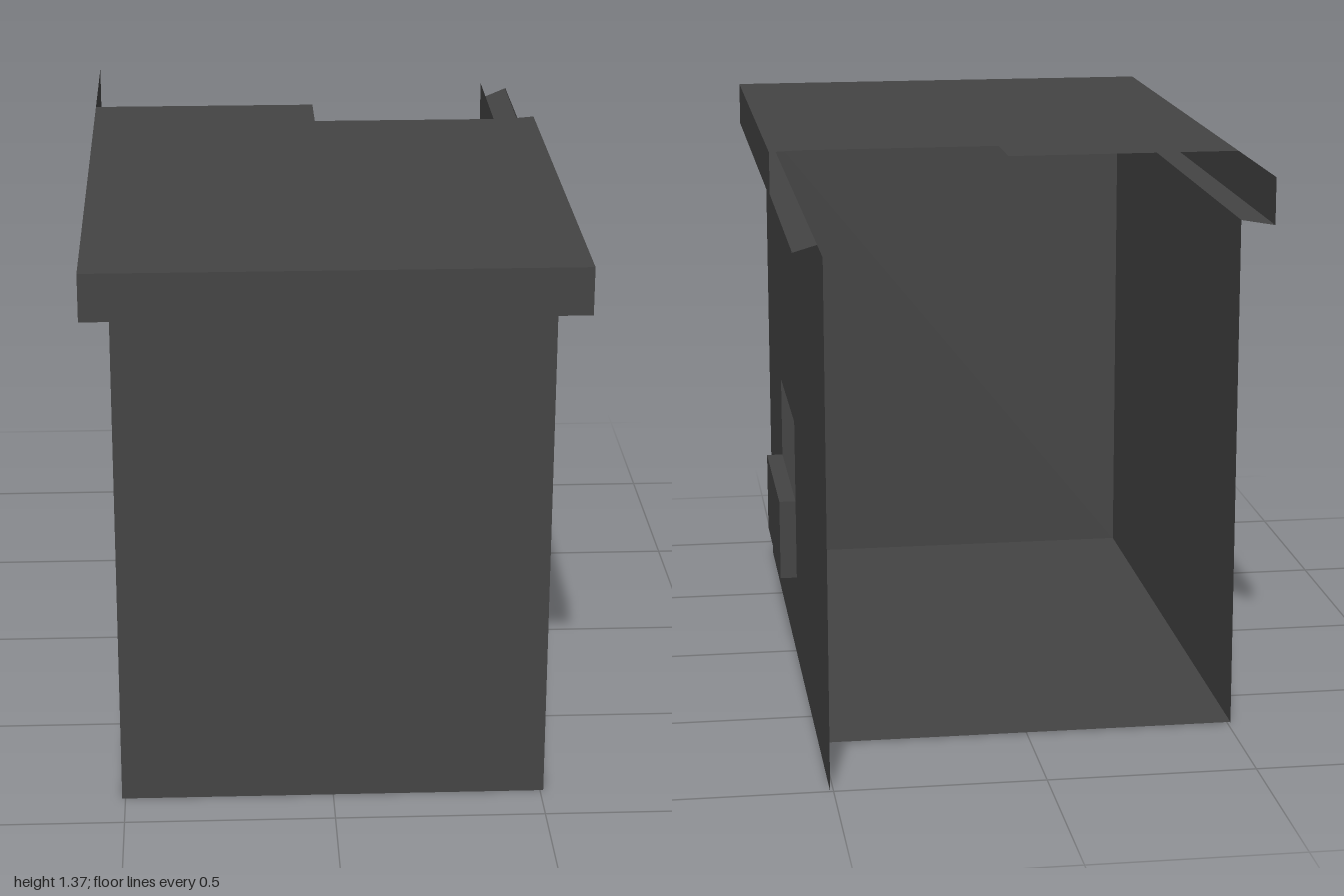
import * as THREE from 'three';

const charcoal = new THREE.MeshStandardMaterial({ color: 0x444444, side: THREE.DoubleSide });
charcoal.name = 'charcoal';

// How the two outline coordinates of a plate map into space, per plane
const planes = {
  x: (u, v, d) => [d, v, u], // outline in (z, y)
  y: (u, v, d) => [u, d, v], // outline in (x, z)
  z: (u, v, d) => [u, v, d], // outline in (x, y)
};

const rect = (u0, v0, u1, v1) => [[u0, v0], [u1, v0], [u1, v1], [u0, v1]];
const vectors = (points) => points.map(([u, v]) => new THREE.Vector2(u, v));

// Flat sheet lying in one axis plane, with an optional opening
function plate(name, plane, offset, outline, hole) {
  const shape = new THREE.Shape(vectors(outline));
  if (hole) shape.holes.push(new THREE.Path(vectors(hole)));
  const geometry = new THREE.ShapeGeometry(shape);
  const p = geometry.attributes.position;
  for (let i = 0; i < p.count; i++) {
    p.setXYZ(i, ...planes[plane](p.getX(i), p.getY(i), offset));
  }
  geometry.computeVertexNormals();
  const mesh = new THREE.Mesh(geometry, charcoal);
  mesh.name = name;
  return mesh;
}

function group(name, ...parts) {
  const g = new THREE.Group();
  g.name = name;
  g.add(...parts);
  return g;
}

export function createModel() {
  const wall = 0.508, eave = 0.572, front = 0.885, back = -0.69;
  const eaveY = 1.257, roofY = 1.37;
  const z0 = -0.055, z1 = 0.412, sill = 0.22, ledge = 0.427, lintel = 0.64;

  // Open-backed room; the window wall runs further back
  const room = group('room',
    plate('floor', 'y', 0.002, rect(-wall, back, wall, front)),
    plate('frontWall', 'z', front, rect(-wall, 0, wall, eaveY)),
    plate('rightWall', 'x', -wall, rect(back, 0, front, eaveY)),
    plate('leftWall', 'x', wall, rect(-1, 0, front, eaveY), rect(z0, sill, z1, lintel)),
  );

  // Shallow bay projecting from the lower half of the window
  const out = 0.55;
  const bay = group('windowBay',
    plate('bayFront', 'x', out, rect(z0, sill, z1, ledge)),
    plate('bayBottom', 'y', sill, rect(wall, z0, out, z1)),
    plate('bayTop', 'y', ledge, rect(wall, z0, out, z1)),
    ...[z0, z1].map((z) => plate('bayEnd', 'z', z, rect(wall, sill, out, ledge))),
  );

  // Roof deck with a stepped back edge, deep fascia and soffits
  const roof = group('roof',
    plate('roofDeck', 'y', roofY, [
      [-eave, 1], [eave, 1], [eave, -0.235], [0.5, -0.215],
      [0, -0.215], [0, -0.375], [-eave, -0.375],
    ]),
    plate('frontFascia', 'z', 1, rect(-eave, eaveY, eave, roofY)),
    plate('rightFascia', 'x', -eave, rect(-0.765, eaveY, 1, roofY)),
    plate('leftFascia', 'x', eave, rect(-0.235, eaveY, 1, roofY)),
    plate('frontSoffit', 'y', eaveY, rect(-wall, front, wall, 1)),
    plate('rightSoffit', 'y', eaveY, [
      [-eave, 1], [-wall, 1], [-wall, back], [-eave, -0.765],
    ]),
    plate('leftSoffit', 'y', eaveY, [
      [wall, 1], [eave, 1], [eave, -0.94], [wall, -0.855],
    ]),
    // Low lip left along the broken eave
    plate('eaveLip', 'x', eave, [
      [-0.235, eaveY], [-0.235, 1.266], [-0.94, 1.26], [-0.94, eaveY],
    ]),
  );

  return group('building', room, bay, roof);
}
